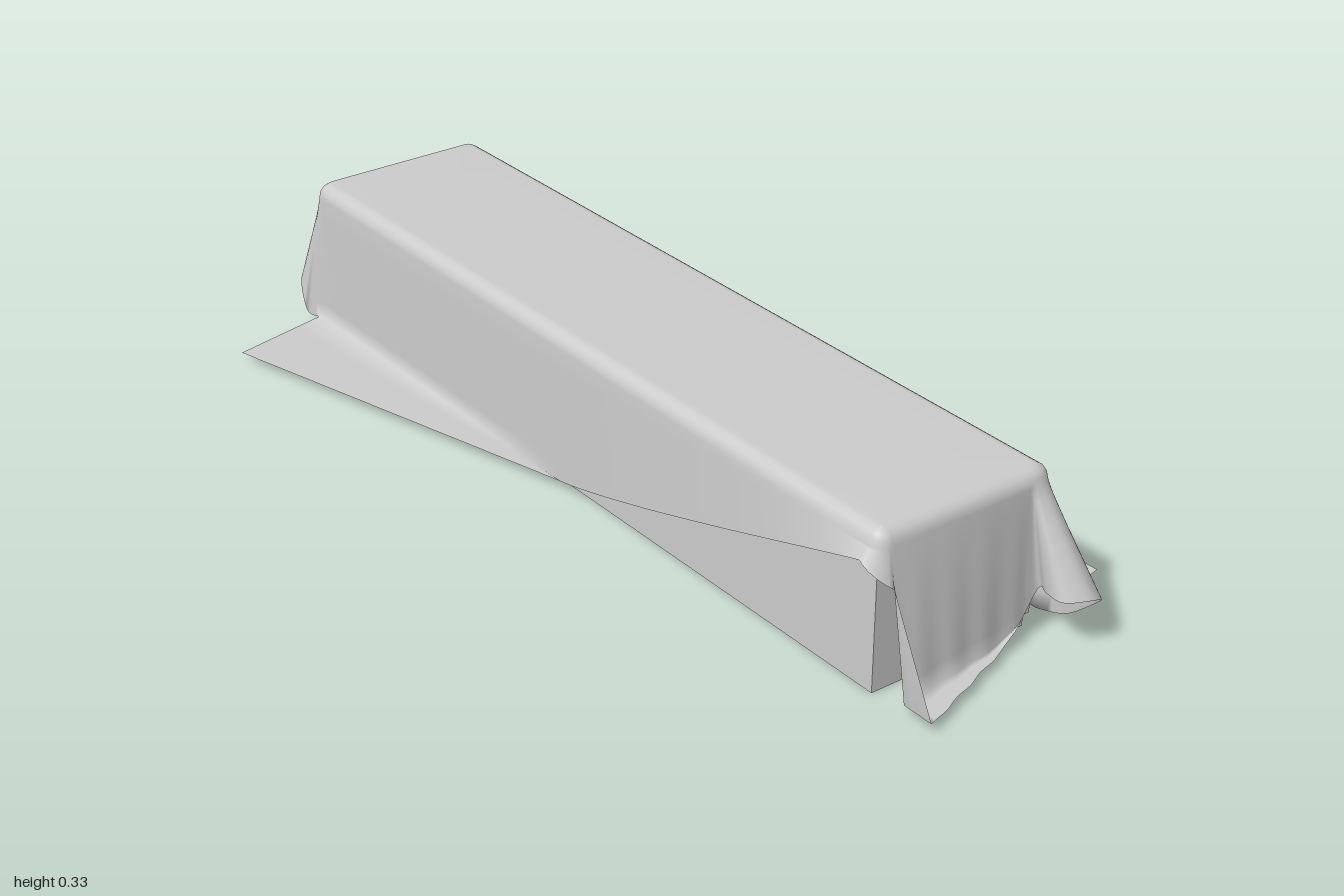
import * as THREE from 'three';

const CX = 0.02, CZ = -0.025;          // middle of the draped cabinet
const HX = 0.17, HZ = 0.87, R = 0.03;  // flat top half sizes and edge rounding
const TOP = 0.327, FLOOR = 0.02;
const lerp = THREE.MathUtils.lerp;
const V = (x, y, z) => new THREE.Vector3(x, y, z);

// One hanging strip of cloth: rim point, outward angle, lower point, floor point
function column(list, turn, rx, rz, angle, bottom, floor = bottom) {
  const spin = (p) => V(CX + p.x * turn, p.y, CZ + p.z * turn);
  const path = [V(0, TOP, THREE.MathUtils.clamp(rz, -0.72, 0.72)), V(rx, TOP, rz)];
  const at = (a) => V(rx + Math.cos(angle) * R * Math.sin(a), TOP - R + R * Math.cos(a), rz + Math.sin(angle) * R * Math.sin(a));
  for (let i = 1; i <= 4; i++) path.push(at((i / 4) * Math.PI / 2));
  const shoulder = path[path.length - 1];
  for (let i = 1; i <= 8; i++) path.push(shoulder.clone().lerp(bottom, i / 8));
  for (let i = 1; i <= 3; i++) path.push(bottom.clone().lerp(floor, i / 3));
  list.push(path.map(spin));
}

// Half of the cloth: long side, folded corner, end and short corner
function halfCloth(list, turn) {
  const front = turn > 0;
  // long side: the hem climbs one way and spreads on the floor the other way
  const n = 60;
  for (let i = 0; i <= n; i++) {
    const z = lerp(-HZ, HZ, i / n);
    const hem = FLOOR + 0.255 * Math.pow(Math.max(0, -z) / HZ, 1.15);
    const k = Math.max(0, z) / HZ;
    const spread = front ? 0.18 * Math.sin(1.45 * k) : 0.222 * k;
    const x = 0.207 + (front ? 0 : 0.01 * Math.pow(1 - i / n, 10));
    column(list, turn, HX, z, 0, V(x, hem, z), V(x + spread, hem, z - 0.15 * spread));
  }
  // corner fold: surplus cloth bulges out as a hollow cone
  const sx = front ? 0 : -0.03, sz = front ? 0 : -0.035;
  const fold = new THREE.CatmullRomCurve3([
    V(0.21, 0.02, 0.88), V(0.235 + sx / 2, 0.02, 0.915), V(0.258 + sx, 0.05, 0.955 + sz), V(0.237 + sx, 0.09, 0.995 + sz),
    V(0.195 + sx, 0.11, 1.01 + sz), V(0.15 + sx, 0.11, 0.985 + sz), V(0.15 + sx, 0.11, 0.945 + sz / 2),
    V(0.168 + sx, 0.1, 0.912), V(0.135, front ? 0.045 : 0.12, front ? 0.908 : 0.9),
  ]);
  for (let i = 1; i <= 36; i++) {
    const t = i / 36;
    column(list, turn, lerp(HX, 0.135, t * t), HZ, Math.min(1, t * 1.6) * Math.PI / 2, fold.getPoint(t));
  }
  // end: the front one reaches the floor, the back one stops short of it
  for (let i = 1; i <= 24; i++) {
    const t = i / 24, x = lerp(0.135, -HX, t);
    const hem = front ? lerp(0.045, FLOOR, Math.min(1, t * 5)) : lerp(0.12, 0.04, t);
    const z = (front ? 0.908 + 0.05 * t : 0.9) + 0.002 * Math.sin(t * 24);
    column(list, turn, x, HZ, Math.PI / 2, V(x - 0.01 * t, hem, z), V(x - 0.01 * t, hem, z + (front ? 0.068 * t : 0)));
  }
  // short corner lip
  for (let i = 1; i <= 8; i++) {
    const a = Math.PI / 2 * (1 + i / 9), out = front ? 0.048 : 0.034;
    column(list, turn, -HX, HZ, a, V(-HX + Math.cos(a) * out, lerp(0.22, 0.27, i / 8), HZ + Math.sin(a) * out));
  }
}

function clothGeometry() {
  const columns = [], index = [];
  halfCloth(columns, 1);
  halfCloth(columns, -1);
  const rows = columns[0].length, count = columns.length;
  for (let i = 0; i < count; i++) {
    const a = i * rows, b = ((i + 1) % count) * rows;
    for (let j = 0; j < rows - 1; j++) {
      index.push(a + j, b + j, a + j + 1, b + j, b + j + 1, a + j + 1);
    }
  }
  const geometry = new THREE.BufferGeometry().setFromPoints(columns.flat());
  geometry.setIndex(index);
  geometry.computeVertexNormals();
  return geometry;
}

export function createModel() {
  const model = new THREE.Group();
  const grey = new THREE.MeshStandardMaterial({ color: 0xcccccc });
  const clothMaterial = new THREE.MeshStandardMaterial({ color: 0xcccccc, side: THREE.DoubleSide });

  const cabinet = new THREE.Group();
  cabinet.name = 'cabinet';
  model.add(cabinet);

  // Box given by its limits
  function board(name, x0, x1, y0, y1, z0, z1) {
    const mesh = new THREE.Mesh(new THREE.BoxGeometry(x1 - x0, y1 - y0, z1 - z0), grey);
    mesh.position.set((x0 + x1) / 2, (y0 + y1) / 2, (z0 + z1) / 2);
    mesh.name = name;
    cabinet.add(mesh);
  }

  // Carcass: two open bays at the back, a hollow bottomless box in front of them
  const z0 = -0.895, z1 = 0.85, t = 0.01;
  const step = (z1 - z0 - t) / 5, zMid = z0 + 2 * step;
  board('topBoard', -0.16, 0.205, 0.305, 0.315, z0, z1);
  board('backPanel', -0.16, -0.155, 0, 0.305, z0, z1);
  board('toeKick', 0.185, 0.19, 0, 0.022, z0, z1);
  board('bottomRail', 0.185, 0.205, 0.022, 0.034, z0, z1);
  board('frontPanel', 0.2, 0.205, 0.034, 0.305, zMid + t, z1 - t);
  board('endFoot', -0.155, 0.185, 0, 0.034, z1 - t, z1);
  board('endPanel', -0.155, 0.205, 0.034, 0.305, z1 - t, z1);

  // Shelf bays
  board('bayBase', -0.155, 0.185, 0, 0.034, z0, zMid + t);
  for (let i = 0; i <= 2; i++) {
    const z = z0 + i * step;
    board('upright', -0.155, 0.205, 0.034, 0.305, z, z + t);
    if (i === 2) break;
    board('shelf', -0.155, 0.2, 0.147, 0.157, z + t, z + step);
    board('upperShelf', -0.155, 0.2, 0.262, 0.27, z + t, z + step);
  }

  // Cloth thrown askew over the cabinet
  const cloth = new THREE.Mesh(clothGeometry(), clothMaterial);
  cloth.name = 'drapedCloth';
  model.add(cloth);
  return model;
}
